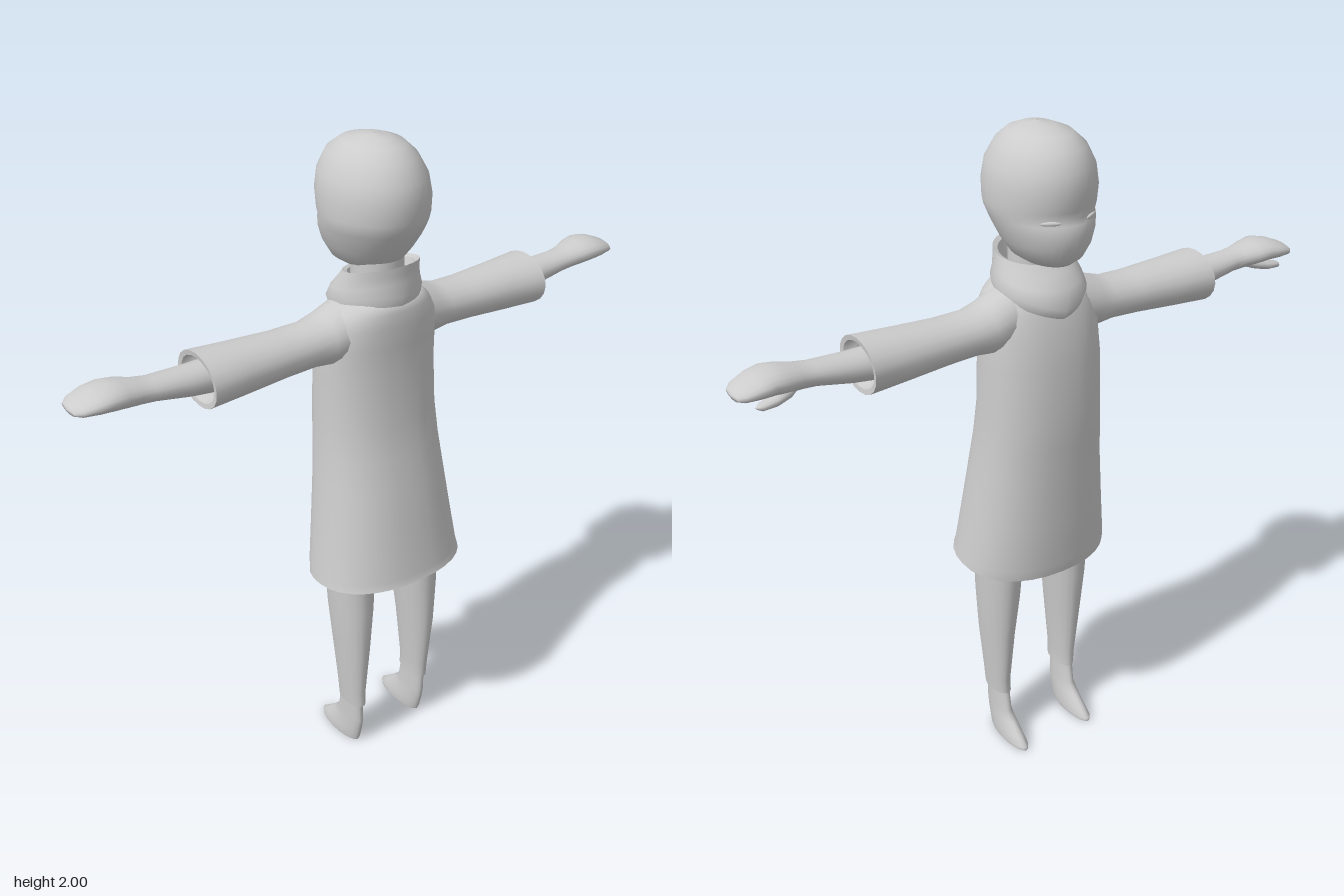
import * as THREE from 'three';

const clay = new THREE.MeshStandardMaterial({ color: 0xcccccc });
clay.name = 'clay grey';
clay.side = THREE.DoubleSide;

// Smooth skin over oval rings. Each ring: [t, min u, max u, min v, max v, tilt].
// Axis 'y': u = x, v = z, ring height leans by tilt * z. Axis 'x': u = z, v = y.
// A repeated ring makes a sharp edge; side = -1 mirrors across x.
function loft(name, rings, { axis = 'y', side = 1, n = 24, power = 2, bend = null } = {}) {
  const pos = [], idx = [];
  rings.forEach(([t, u0, u1, v0, v1, tilt = 0]) => {
    for (let j = 0; j < n; j++) {
      const a = (j / n) * Math.PI * 2, c = Math.cos(a), s = Math.sin(a);
      const round = (k) => Math.sign(k) * Math.abs(k) ** (2 / power);
      const u = (u0 + u1) / 2 + ((u1 - u0) / 2) * round(c);
      const v = (v0 + v1) / 2 + ((v1 - v0) / 2) * round(s);
      const p = axis === 'y' ? [u, t + tilt * v, v] : [t, v, u];
      if (bend) bend(p, t);
      pos.push(p[0] * side, p[1], p[2]);
    }
  });
  for (let i = 0; i < rings.length - 1; i++) {
    for (let j = 0; j < n; j++) {
      const a = i * n + j, b = i * n + ((j + 1) % n), c = a + n, d = b + n;
      if (side > 0) idx.push(a, c, b, b, c, d);
      else idx.push(a, b, c, b, d, c);
    }
  }
  const g = new THREE.BufferGeometry();
  g.setAttribute('position', new THREE.Float32BufferAttribute(pos, 3));
  g.setIndex(idx);
  g.computeVertexNormals();
  const mesh = new THREE.Mesh(g, clay);
  mesh.name = name;
  return mesh;
}

// Ring symmetrical in x
const sym = (y, r, z0, z1, tilt) => [y, -r, r, z0, z1, tilt];

function head() {
  const group = new THREE.Group();
  group.name = 'head';
  group.add(loft('skull', [
    sym(1.635, 0.001, -0.11, -0.108),
    sym(1.64, 0.06, -0.155, 0.02),
    sym(1.66, 0.09, -0.182, 0.055),
    sym(1.70, 0.115, -0.202, 0.088),
    sym(1.74, 0.131, -0.207, 0.115),
    sym(1.765, 0.139, -0.2, 0.128),
    sym(1.78, 0.143, -0.192, 0.134),
    sym(1.80, 0.146, -0.198, 0.14),
    sym(1.85, 0.147, -0.206, 0.145),
    sym(1.90, 0.138, -0.201, 0.136),
    sym(1.95, 0.112, -0.176, 0.106),
    sym(1.98, 0.08, -0.132, 0.068),
    sym(1.995, 0.04, -0.075, 0.025),
    sym(2.0, 0.001, -0.022, -0.02),
  ], { n: 32 }));
  group.add(loft('neck', [
    sym(1.52, 0.075, -0.08, 0.065), sym(1.7, 0.075, -0.09, 0.065),
  ]));
  // Closed eyelids
  for (const s of [-1, 1]) {
    const lid = new THREE.Mesh(new THREE.SphereGeometry(1, 16, 8).scale(0.028, 0.006, 0.005), clay);
    lid.name = s > 0 ? 'eyelidPlusX' : 'eyelidMinusX';
    lid.position.set(s * 0.065, 1.775, -0.177);
    lid.rotation.y = -s * 0.52;
    group.add(lid);
  }
  return group;
}

function coat() {
  const hem = sym(0.68, 0.242, -0.16, 0.208, 0.1);
  const inner = sym(0.685, 0.222, -0.142, 0.188, 0.1);
  return loft('coat', [
    sym(0.72, 0.001, 0.01, 0.012),
    sym(0.715, 0.215, -0.135, 0.18),
    inner, inner, hem, hem,
    sym(0.71, 0.238, -0.165, 0.2, 0.06),
    sym(0.85, 0.219, -0.17, 0.18),
    sym(1.0, 0.201, -0.173, 0.154),
    sym(1.1, 0.192, -0.176, 0.133),
    sym(1.2, 0.186, -0.177, 0.117),
    sym(1.35, 0.184, -0.166, 0.105),
    sym(1.44, 0.182, -0.15, 0.107),
    sym(1.5, 0.175, -0.132, 0.108),
    sym(1.54, 0.15, -0.115, 0.104),
    sym(1.57, 0.115, -0.095, 0.095),
    sym(1.585, 0.001, -0.001, 0.001),
  ], { n: 32, power: 2.25 });
}

// Draped collar, its lower edge dipping to a point on the chest
function collar() {
  const low = sym(1.545, 0.128, -0.15, 0.104, 0.24);
  const lip = sym(1.648, 0.112, -0.088, 0.1, 0.22);
  const fold = sym(1.642, 0.098, -0.078, 0.088, 0.22);
  return loft('collar', [
    sym(1.56, 0.1, -0.115, 0.08, 0.24), low, low,
    sym(1.572, 0.133, -0.163, 0.107, 0.22),
    sym(1.60, 0.125, -0.145, 0.1, 0.22),
    sym(1.625, 0.117, -0.113, 0.1, 0.22),
    lip, lip, fold, fold,
    sym(1.59, 0.08, -0.07, 0.07),
  ], {
    n: 32,
    bend: (p, t) => {
      if (t > 1.58) return;
      const point = Math.max(0, 1 - Math.abs(p[0]) / 0.1);
      p[1] -= point * (p[2] < 0 ? 0.022 : 0.012);
    },
  });
}

function arm(side) {
  const group = new THREE.Group();
  group.name = side > 0 ? 'armPlusX' : 'armMinusX';
  const opt = { axis: 'x', side, n: 20 };
  const cuff = [0.568, -0.13, 0.07, 1.378, 1.532];
  const rim = [0.566, -0.115, 0.055, 1.392, 1.518];
  group.add(loft('sleeve', [
    [0.08, -0.1, 0.06, 1.41, 1.575],
    [0.13, -0.108, 0.065, 1.395, 1.56],
    [0.18, -0.107, 0.057, 1.39, 1.537],
    [0.23, -0.102, 0.05, 1.396, 1.522],
    [0.32, -0.106, 0.052, 1.393, 1.52],
    [0.45, -0.117, 0.06, 1.384, 1.526],
    cuff, cuff, rim, rim,
    [0.54, -0.1, 0.04, 1.4, 1.51],
    [0.53, -0.031, -0.029, 1.45, 1.452],
  ], opt));
  group.add(loft('forearmAndHand', [
    [0.5, -0.088, 0.018, 1.405, 1.502],
    [0.6, -0.085, 0.015, 1.418, 1.5],
    [0.7, -0.08, 0.012, 1.438, 1.502],
    [0.74, -0.085, 0.014, 1.442, 1.508],
    [0.78, -0.1, 0.023, 1.446, 1.518],
    [0.82, -0.107, 0.03, 1.452, 1.522],
    [0.86, -0.11, 0.025, 1.455, 1.513],
    [0.9, -0.102, 0.01, 1.458, 1.497],
    [0.917, -0.085, -0.01, 1.463, 1.485],
    [0.921, -0.05, -0.046, 1.472, 1.475],
  ], opt));
  group.add(loft('thumb', [
    [0.74, -0.06, -0.03, 1.45, 1.48],
    [0.78, -0.092, -0.04, 1.438, 1.475],
    [0.82, -0.1, -0.055, 1.431, 1.46],
    [0.86, -0.1, -0.066, 1.431, 1.451],
    [0.874, -0.085, -0.08, 1.438, 1.442],
  ], { ...opt, n: 12 }));
  return group;
}

function leg(side) {
  const group = new THREE.Group();
  group.name = side > 0 ? 'legPlusX' : 'legMinusX';
  const end = [0.168, 0.095, 0.155, -0.042, 0.078];
  group.add(loft('trouserLeg', [
    [0.172, 0.12, 0.13, 0.01, 0.02],
    end, end,
    [0.22, 0.095, 0.159, -0.042, 0.08],
    [0.4, 0.08, 0.174, -0.06, 0.097],
    [0.55, 0.064, 0.184, -0.077, 0.103],
    [0.76, 0.048, 0.192, -0.092, 0.107],
  ], { side, n: 20 }));
  const sole = [0, 0.096, 0.154, -0.145, 0.045];
  group.add(loft('foot', [
    [0, 0.124, 0.126, -0.04, -0.038],
    sole, sole,
    [0.012, 0.094, 0.156, -0.146, 0.05],
    [0.035, 0.096, 0.154, -0.118, 0.056],
    [0.07, 0.099, 0.151, -0.078, 0.065],
    [0.1, 0.101, 0.149, -0.05, 0.069],
    [0.19, 0.102, 0.15, -0.036, 0.07],
  ], { side, n: 20 }));
  return group;
}

export function createModel() {
  const model = new THREE.Group();
  model.name = 'coatedFigure';
  model.add(head(), coat(), collar());
  for (const side of [-1, 1]) model.add(arm(side), leg(side));
  return model;
}
